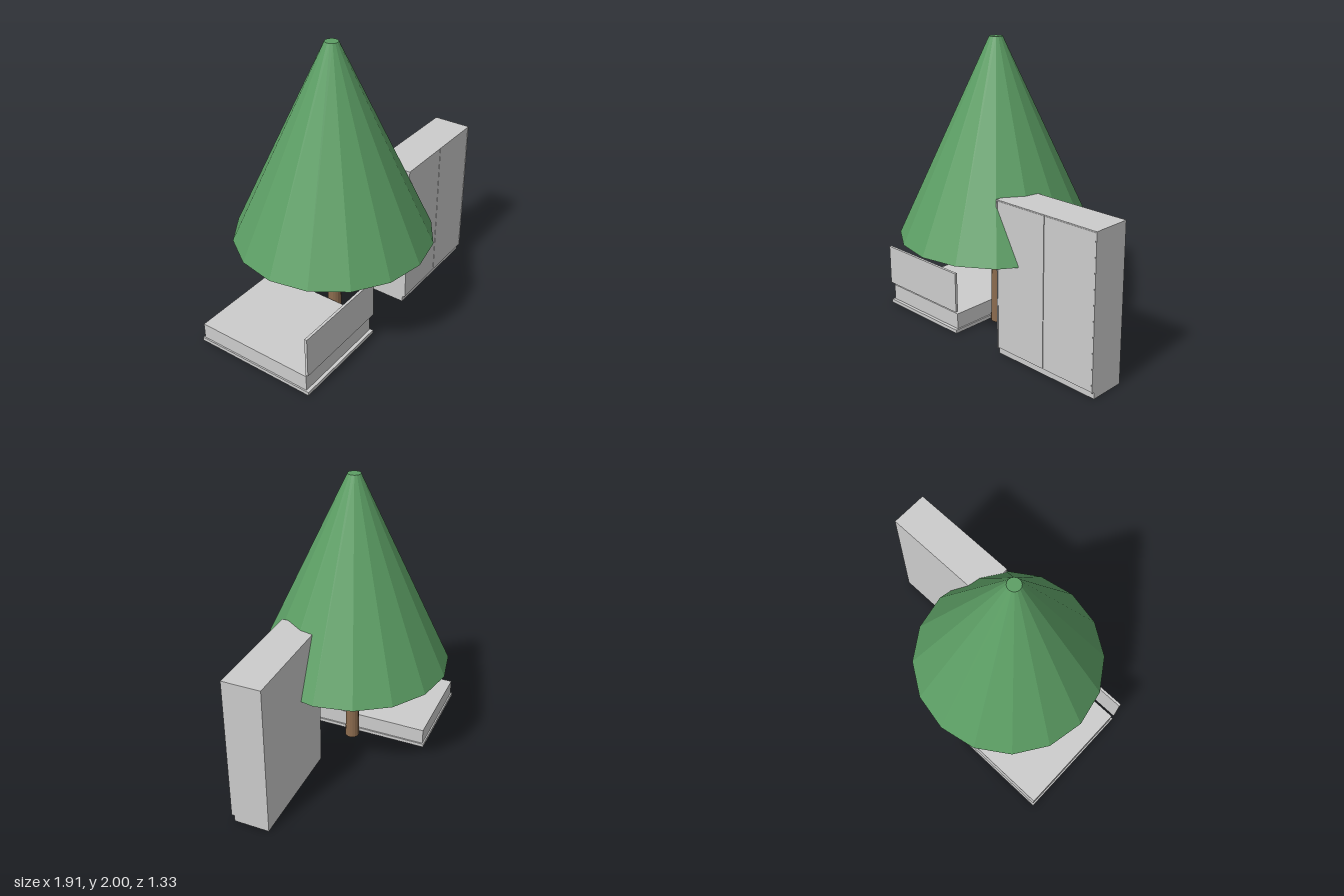
import * as THREE from 'three';

const flat = (name, color) => {
  const m = new THREE.MeshStandardMaterial({ color });
  m.name = name;
  return m;
};

export function createModel() {
  const model = new THREE.Group();
  const leafGreen = flat('leafGreen', 0x5c9e64);
  const barkBrown = flat('barkBrown', 0x8b6b4e);
  const paleGrey = flat('paleGrey', 0xcccccc);

  // Box given by its limits on each axis
  const box = (parent, name, [x0, x1], [y0, y1], [z0, z1]) => {
    const mesh = new THREE.Mesh(new THREE.BoxGeometry(x1 - x0, y1 - y0, z1 - z0), paleGrey);
    mesh.position.set((x0 + x1) / 2, (y0 + y1) / 2, (z0 + z1) / 2);
    mesh.name = name;
    parent.add(mesh);
  };

  // Faceted, tapered cylinder standing on y0
  const taper = (parent, name, top, bottom, y0, y1, material) => {
    const geometry = new THREE.CylinderGeometry(top, bottom, y1 - y0, 16).toNonIndexed();
    geometry.computeVertexNormals();
    const mesh = new THREE.Mesh(geometry, material);
    mesh.position.y = (y0 + y1) / 2;
    mesh.name = name;
    parent.add(mesh);
  };

  // Tree
  const tree = new THREE.Group();
  tree.name = 'tree';
  tree.position.x = -0.2;
  taper(tree, 'trunk', 0.036, 0.05, 0, 0.69, barkBrown);
  taper(tree, 'foliage', 0.044, 0.664, 0.67, 2, leafGreen);
  model.add(tree);

  // Bed: base, mattress and raised end panel
  const bed = new THREE.Group();
  bed.name = 'bed';
  box(bed, 'bedBase', [-0.96, -0.247], [0, 0.025], [-0.532, 0.355]);
  box(bed, 'mattress', [-0.95, -0.257], [0.025, 0.137], [-0.522, 0.332]);
  box(bed, 'endPanel', [-0.96, -0.247], [0.16, 0.445], [0.337, 0.355]);
  model.add(bed);

  // Cabinet: plinth, carcass with a thin front rim, two inset doors
  const cabinet = new THREE.Group();
  cabinet.name = 'cabinet';
  const [x0, x1, y0, y1, rim] = [0.155, 0.952, 0.045, 1.068, 0.007];
  const mid = (x0 + x1) / 2;
  box(cabinet, 'plinth', [x0, x1], [0, y0], [0.09, 0.335]);
  box(cabinet, 'carcass', [x0, x1], [y0, y1], [0.09, 0.335]);
  box(cabinet, 'topRim', [x0, x1], [y1 - rim, y1], [0.335, 0.355]);
  box(cabinet, 'rightRim', [x0, x0 + rim], [y0, y1 - rim], [0.335, 0.355]);
  box(cabinet, 'leftRim', [x1 - rim, x1], [y0, y1 - rim], [0.335, 0.355]);
  box(cabinet, 'rightDoor', [x0 + rim + 0.002, mid - 0.002], [y0 + 0.005, y1 - rim - 0.002], [0.335, 0.353]);
  box(cabinet, 'leftDoor', [mid + 0.002, x1 - rim - 0.002], [y0 + 0.005, y1 - rim - 0.002], [0.335, 0.353]);
  model.add(cabinet);

  return model;
}
